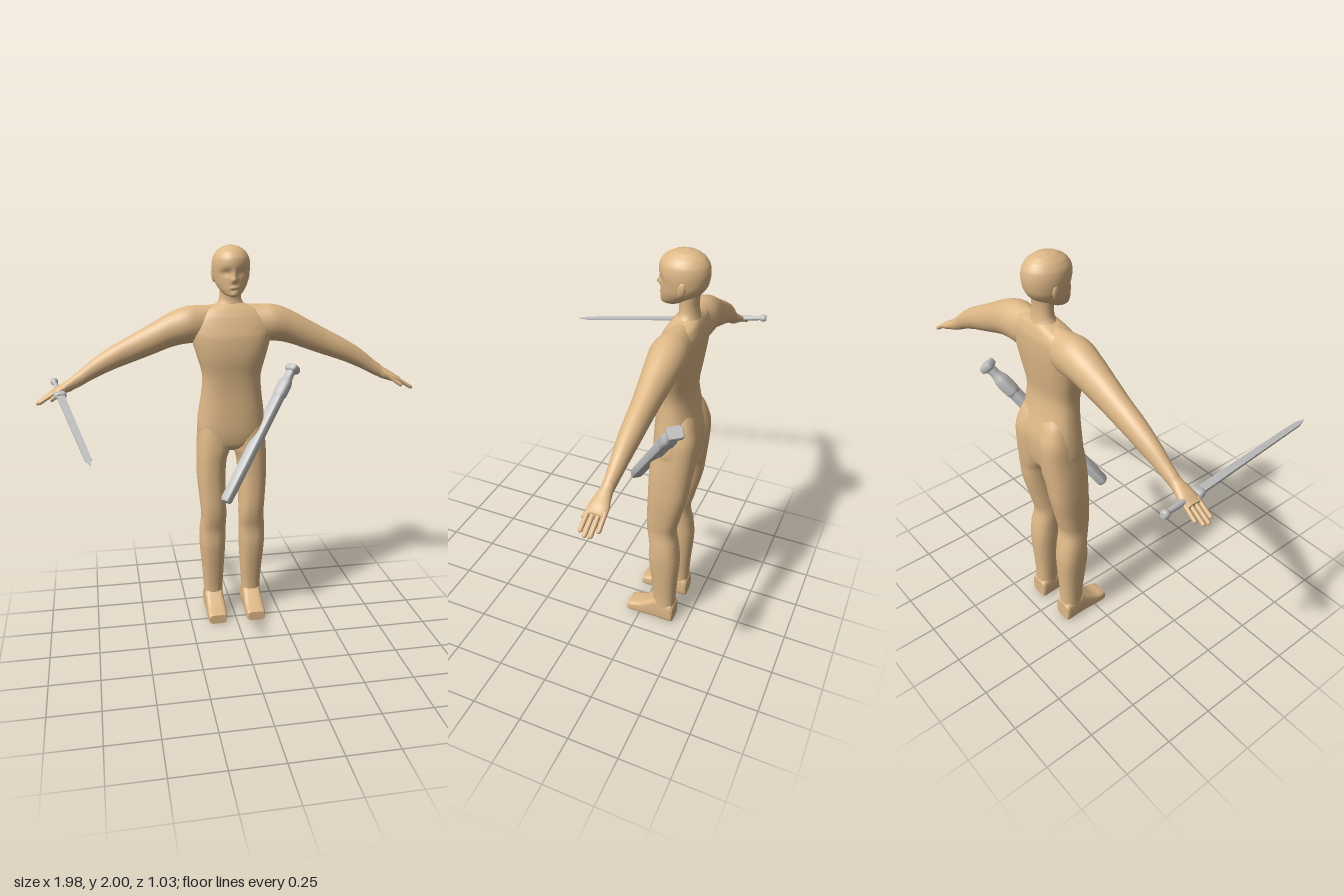
import * as THREE from 'three';
import { toCreasedNormals } from 'three/addons/utils/BufferGeometryUtils.js';

const skin = new THREE.MeshStandardMaterial({ color: 0xdeb887 });
skin.name = 'skin';
const steel = new THREE.MeshStandardMaterial({ color: 0xc0c0c0 });
steel.name = 'steel';

const cubic = (a, b, c, d, t) => b + 0.5 * t * (c - a + t * (2 * a - 5 * b + 4 * c - d + t * (3 * (b - c) + d - a)));

// Closed loft along an axis (0 x, 1 y, 2 z). Rows: [position, uMin, uMax, vMin, vMax],
// with (u, v) = (z, y) for x, (x, z) for y and (y, x) for z. Power 2 is an ellipse, more is boxier.
function loft(axis, rows, { segs = 28, steps = 4, power = 2 } = {}) {
  const v = (axis + 1) % 3, u = (axis + 2) % 3, rings = [];
  rows.forEach((row, i) => {
    if (i === rows.length - 1) return rings.push(row);
    const a = rows[Math.max(i - 1, 0)], b = rows[i + 1], c = rows[Math.min(i + 2, rows.length - 1)];
    for (let s = 0; s < steps; s++) {
      const t = s / steps;
      rings.push(row.map((p, k) => (k ? cubic(a[k], p, b[k], c[k], t) : p + (b[0] - p) * t)));
    }
  });
  const pos = [], index = [];
  const bend = (c) => Math.sign(c) * Math.abs(c) ** (2 / power);
  const addRing = ([p, u0, u1, v0, v1]) => {
    for (let j = 0; j < segs; j++) {
      const a = (j / segs) * Math.PI * 2, q = [0, 0, 0];
      q[axis] = p;
      q[u] = (u0 + u1) / 2 + ((u1 - u0) / 2) * bend(Math.cos(a));
      q[v] = (v0 + v1) / 2 + ((v1 - v0) / 2) * bend(Math.sin(a));
      pos.push(...q);
    }
  };
  rings.forEach(addRing);
  for (let i = 0; i < rings.length - 1; i++) {
    for (let j = 0; j < segs; j++) {
      const a = i * segs + j, b = i * segs + ((j + 1) % segs);
      index.push(a, a + segs, b, b, a + segs, b + segs);
    }
  }
  // Flat end caps with their own vertices
  [rings[0], rings[rings.length - 1]].forEach((ring, end) => {
    const base = pos.length / 3;
    addRing(ring);
    for (let j = 1; j < segs - 1; j++) {
      index.push(base, base + (end ? j + 1 : j), base + (end ? j : j + 1));
    }
  });
  const g = new THREE.BufferGeometry();
  g.setAttribute('position', new THREE.Float32BufferAttribute(pos, 3));
  g.setIndex(index);
  g.computeVertexNormals();
  return g;
}

// Rounded bar between two points
function bar(a, b, r) {
  const A = new THREE.Vector3(...a), B = new THREE.Vector3(...b), d = B.clone().sub(A);
  const g = new THREE.CapsuleGeometry(r, d.length(), 4, 10);
  g.applyQuaternion(new THREE.Quaternion().setFromUnitVectors(new THREE.Vector3(0, 1, 0), d.normalize()));
  return g.translate(...A.add(B).multiplyScalar(0.5).toArray());
}

function mirrored(g) {
  const m = g.clone().scale(-1, 1, 1), ix = m.index.array;
  for (let i = 0; i < ix.length; i += 3) [ix[i], ix[i + 1]] = [ix[i + 1], ix[i]];
  m.computeVertexNormals();
  return m;
}

function add(parent, name, geometry, material = skin) {
  const mesh = new THREE.Mesh(geometry, material);
  mesh.name = name;
  parent.add(mesh);
}

function addPair(parent, name, geometry) {
  add(parent, 'left ' + name, geometry);
  add(parent, 'right ' + name, mirrored(geometry));
}

// Rows symmetric in x for upright lofts: [y, half width, back z, front z]
const upright = (rows) => rows.map(([y, w, back, front]) => [y, -w, w, back, front]);
// Rows symmetric in both directions for lofts along z: [z, half width, half height]
const centred = (rows) => rows.map(([z, w, h]) => [z, -h, h, -w, w]);

function headGeometry() {
  const g = loft(1, upright([
    [1.752, 0.012, -0.30, -0.265], [1.762, 0.04, -0.34, -0.255], [1.785, 0.062, -0.39, -0.25],
    [1.815, 0.08, -0.43, -0.25], [1.85, 0.09, -0.453, -0.249], [1.9, 0.095, -0.461, -0.24],
    [1.94, 0.089, -0.455, -0.243], [1.97, 0.07, -0.435, -0.265], [1.99, 0.042, -0.405, -0.3],
    [1.999, 0.01, -0.365, -0.34],
  ]), { segs: 64, steps: 6 });
  // Face relief: eye sockets, nose, lips and chin as soft bumps
  const p = g.attributes.position;
  const bumps = [
    [0.036, 1.872, 0.026, 0.018, -0.011], [-0.036, 1.872, 0.026, 0.018, -0.011],
    [0, 1.838, 0.012, 0.013, 0.02], [0, 1.862, 0.009, 0.02, 0.012],
    [0, 1.80, 0.018, 0.006, 0.006], [0, 1.787, 0.014, 0.004, -0.006], [0, 1.765, 0.02, 0.01, 0.006],
  ];
  for (let i = 0; i < p.count; i++) {
    if (p.getZ(i) < -0.33) continue;
    let z = p.getZ(i);
    for (const [x, y, sx, sy, h] of bumps) {
      z += h * Math.exp(-(((p.getX(i) - x) / sx) ** 2) - ((p.getY(i) - y) / sy) ** 2);
    }
    p.setZ(i, z);
  }
  g.computeVertexNormals();
  return g;
}

export function createModel() {
  const model = new THREE.Group();
  model.name = 'swordsman';
  const body = new THREE.Group();
  body.name = 'body';
  model.add(body);

  // Torso, neck and head
  add(body, 'torso', loft(1, upright([
    [0.945, 0.025, -0.41, -0.33], [0.96, 0.085, -0.445, -0.295], [0.985, 0.15, -0.465, -0.275],
    [1.05, 0.178, -0.475, -0.265], [1.15, 0.172, -0.475, -0.265], [1.25, 0.158, -0.448, -0.268],
    [1.35, 0.152, -0.43, -0.263], [1.45, 0.178, -0.44, -0.25], [1.55, 0.205, -0.45, -0.255],
    [1.61, 0.215, -0.452, -0.274], [1.65, 0.2, -0.45, -0.29], [1.685, 0.15, -0.44, -0.31],
    [1.705, 0.085, -0.43, -0.325], [1.72, 0.05, -0.415, -0.34],
  ]), { segs: 48, power: 2.4 }));
  add(body, 'neck', loft(1, upright([
    [1.67, 0.115, -0.44, -0.315], [1.70, 0.078, -0.432, -0.328], [1.73, 0.058, -0.424, -0.336],
    [1.77, 0.054, -0.42, -0.335], [1.83, 0.056, -0.425, -0.33],
  ])));
  add(body, 'head', headGeometry());
  const ear = new THREE.SphereGeometry(1, 16, 12).scale(0.009, 0.034, 0.018);
  addPair(body, 'ear', ear.rotateZ(-0.12).rotateX(-0.2).translate(0.088, 1.852, -0.368));

  // Legs and feet
  addPair(body, 'leg', loft(1, [
    [0.03, 0.055, 0.158, -0.43, -0.315], [0.12, 0.055, 0.158, -0.43, -0.318],
    [0.22, 0.05, 0.163, -0.432, -0.308], [0.4, 0.04, 0.178, -0.44, -0.285],
    [0.5, 0.038, 0.178, -0.428, -0.285], [0.58, 0.035, 0.17, -0.412, -0.27],
    [0.65, 0.036, 0.175, -0.425, -0.265], [0.8, 0.036, 0.186, -0.458, -0.268],
    [0.9, 0.027, 0.186, -0.47, -0.268], [0.96, 0.006, 0.184, -0.477, -0.268],
    [1.05, 0.003, 0.178, -0.484, -0.276], [1.14, 0.006, 0.17, -0.484, -0.295],
    [1.22, 0.012, 0.148, -0.458, -0.32], [1.28, 0.03, 0.12, -0.425, -0.34],
  ], { power: 2.4 }));
  addPair(body, 'foot', loft(2, [
    [-0.432, 0, 0.1, 0.06, 0.153], [-0.42, 0, 0.115, 0.055, 0.158], [-0.34, 0, 0.135, 0.055, 0.158],
    [-0.31, 0, 0.115, 0.055, 0.157], [-0.25, 0, 0.074, 0.054, 0.157], [-0.2, 0, 0.058, 0.055, 0.157],
    [-0.183, 0, 0.05, 0.06, 0.152],
  ], { power: 4 }));

  // Arms, running from the middle of the chest so the shoulders stay level
  addPair(body, 'arm', loft(0, [
    [0, -0.425, -0.325, 1.54, 1.705], [0.08, -0.435, -0.315, 1.53, 1.705], [0.15, -0.447, -0.297, 1.515, 1.704],
    [0.22, -0.452, -0.287, 1.515, 1.702], [0.3, -0.445, -0.297, 1.5, 1.675], [0.4, -0.43, -0.307, 1.465, 1.622],
    [0.5, -0.42, -0.316, 1.43, 1.568], [0.6, -0.412, -0.32, 1.395, 1.515], [0.7, -0.4, -0.328, 1.352, 1.452],
    [0.8, -0.387, -0.335, 1.303, 1.375], [0.84, -0.392, -0.325, 1.287, 1.345],
    [0.88, -0.402, -0.316, 1.275, 1.322], [0.915, -0.4, -0.32, 1.268, 1.3],
  ]));
  const reach = [0.955, 0.978, 0.982, 0.968];
  reach.forEach((x, i) => {
    const z = -0.393 + 0.022 * i;
    addPair(body, 'finger ' + (i + 1), bar([0.895, 1.295, z], [x, 1.288 - (x - 0.9) * 0.58, z * 1.06 + 0.022], 0.0095));
  });
  addPair(body, 'thumb', bar([0.845, 1.312, -0.335], [0.91, 1.265, -0.312], 0.0105));

  // Sword, built along local z from the guard
  const sword = new THREE.Group();
  sword.name = 'sword';
  add(sword, 'blade', toCreasedNormals(loft(2, centred([
    [0, 0.021, 0.006], [0.77, 0.015, 0.005], [0.83, 0.001, 0.001],
  ]), { segs: 8, steps: 1, power: 10 }), 0.5), steel);
  add(sword, 'guard', loft(2, centred([
    [-0.018, 0.02, 0.013], [-0.01, 0.03, 0.018], [0.012, 0.03, 0.018], [0.022, 0.022, 0.012],
  ]), { segs: 16, steps: 2, power: 3 }), steel);
  add(sword, 'grip', loft(2, centred([
    [-0.2, 0.011, 0.011], [-0.1, 0.014, 0.013], [0, 0.012, 0.012],
  ]), { segs: 16 }), steel);
  add(sword, 'pommel', loft(2, centred([
    [-0.217, 0.013, 0.013], [-0.21, 0.019, 0.018], [-0.195, 0.019, 0.018], [-0.185, 0.011, 0.011],
  ]), { segs: 16, steps: 2 }), steel);
  sword.position.set(-0.868, 1.29, -0.3);
  sword.lookAt(-0.733, 1.187, 0.51);
  model.add(sword);

  // Scabbard, built along local z from its tip
  const scabbard = new THREE.Group();
  scabbard.name = 'scabbard';
  const boxy = { segs: 16, steps: 2, power: 5 };
  add(scabbard, 'scabbard body', toCreasedNormals(loft(2, centred([
    [0, 0.022, 0.018], [0.012, 0.027, 0.023], [0.3, 0.028, 0.024], [0.66, 0.029, 0.025],
  ]), boxy), 0.6), steel);
  add(scabbard, 'scabbard throat', loft(2, centred([
    [0.63, 0.029, 0.025], [0.65, 0.035, 0.03], [0.72, 0.035, 0.03], [0.76, 0.024, 0.021], [0.8, 0.024, 0.021],
  ]), { segs: 20, power: 3 }), steel);
  add(scabbard, 'scabbard rim', loft(2, centred([
    [0.795, 0.026, 0.022], [0.803, 0.036, 0.031], [0.825, 0.036, 0.031], [0.832, 0.032, 0.027],
  ]), boxy), steel);
  scabbard.position.set(-0.072, 0.735, -0.122);
  scabbard.lookAt(0.36, 1.35, -0.47);
  model.add(scabbard);

  return model;
}
